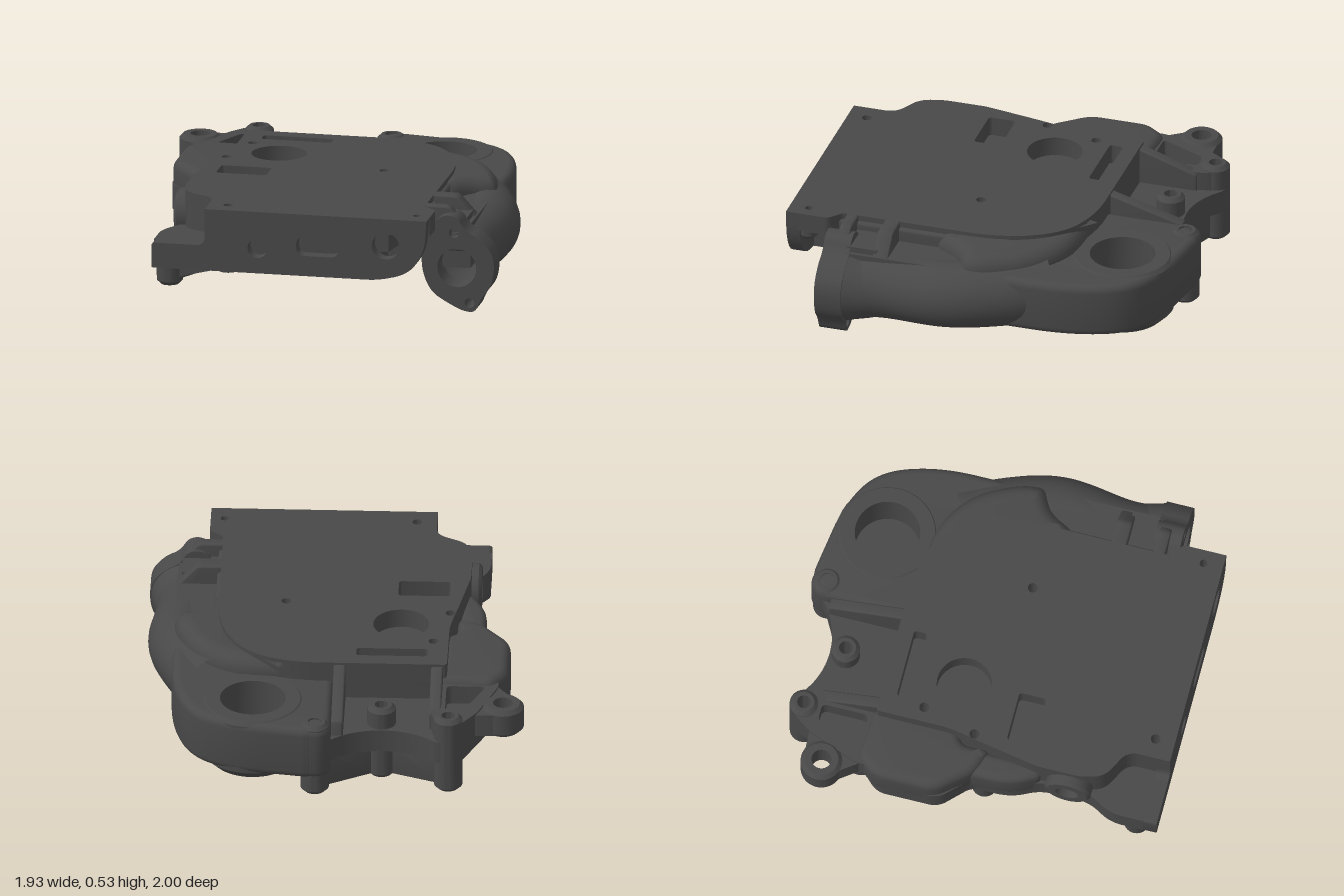
import * as THREE from 'three';
import { toCreasedNormals } from 'three/addons/utils/BufferGeometryUtils.js';

const material = new THREE.MeshStandardMaterial({ color: 0x484848, side: THREE.DoubleSide });

export function createModel() {
  const group = new THREE.Group();

  const add = (name, geometry, x = 0, y = 0, z = 0) => {
    const mesh = new THREE.Mesh(toCreasedNormals(geometry, 0.6), material);
    mesh.name = name;
    mesh.position.set(x, y, z);
    group.add(mesh);
    return mesh;
  };

  // Closed outline with rounded corners; each point is [a, b, cornerRadius]
  const outline = (points, flip = 1) => {
    const p = points.map(([a, b]) => new THREE.Vector2(a, b * flip));
    const shape = new THREE.Shape();
    p.forEach((c, i) => {
      const prev = p[(i + p.length - 1) % p.length], next = p[(i + 1) % p.length];
      const r = points[i][2] ?? 0.03;
      const toward = (q) => c.clone().lerp(q, Math.min(0.49, r / c.distanceTo(q)));
      const a = toward(prev), b = toward(next);
      if (i) shape.lineTo(a.x, a.y); else shape.moveTo(a.x, a.y);
      shape.quadraticCurveTo(c.x, c.y, b.x, b.y);
    });
    shape.closePath();
    return shape;
  };
  const disc = (x, y, r) => new THREE.Path().absarc(x, y, r, 0, Math.PI * 2, true);
  const box = (x, z, w, d, r = 0.02) => outline([
    [x - w / 2, z - d / 2, r], [x + w / 2, z - d / 2, r], [x + w / 2, z + d / 2, r], [x - w / 2, z + d / 2, r]], -1);
  const extrude = (shape, depth, bevel = 0) => new THREE.ExtrudeGeometry(shape, {
    depth: depth - 2 * bevel, curveSegments: 16, bevelEnabled: bevel > 0,
    bevelSize: bevel, bevelThickness: bevel, bevelOffset: -bevel, bevelSegments: 5,
  }).translate(0, 0, bevel);

  // Horizontal layer of the casting, drawn in plan (x, z)
  const slab = (name, points, y0, y1, holes = [], bevel = 0) => {
    const shape = outline(points, -1);
    shape.holes.push(...holes);
    add(name, extrude(shape, y1 - y0, bevel).rotateX(-Math.PI / 2), 0, y0, 0);
  };
  const planHole = ([x, z, r]) => disc(x, -z, r);
  const lathe = (name, profile, x, z) => add(name,
    new THREE.LatheGeometry(profile.map(([r, y]) => new THREE.Vector2(r, y)), 48), x, 0, z);
  // Hollow boss with chamfered rims
  const boss = (name, x, z, r, hole, y0, y1) => lathe(name, [
    [hole, y0], [r - 0.02, y0], [r, y0 + 0.02], [r, y1 - 0.02], [r - 0.02, y1], [hole, y1], [hole, y0]], x, z);

  const bolts = [[-0.495, -0.27, 0.025], [-0.57, 0.01, 0.025], [0.26, 0.1, 0.025], [-0.37, 0.9, 0.025]];

  // Main body in layers: top with pockets, solid middle, underside with recesses
  const leftEdge = [
    [-0.47, 0.93, 0], [-0.47, 0.78, 0.06], [-0.63, 0.7, 0.06], [-0.66, 0.58], [-0.66, 0.36],
    [-0.61, 0.08, 0.06], [-0.57, -0.12, 0.06]];
  const rearEdge = [
    [-0.57, -0.5, 0.02], [0.22, -0.5, 0.15], [0.46, -0.4, 0.15], [0.6, -0.12, 0.2]];
  slab('topPlate', [...rearEdge, [0.6, 0.72, 0.02], [0.67, 0.78, 0.02], [0.67, 0.93, 0], ...leftEdge], 0.43, 0.53, [
    ...[...bolts, [0.6, 0.9, 0.02]].map(planHole), planHole([-0.325, -0.105, 0.14]),
    box(-0.29, -0.385, 0.36, 0.07), box(-0.43, 0.245, 0.26, 0.14)]);
  slab('middlePlate', [...rearEdge, [0.6, 0.74, 0.02], [0.48, 0.78, 0.05], [0.46, 0.93, 0], ...leftEdge],
    0.34, 0.43, bolts.map(planHole));
  const base = [
    [-0.8, -0.5, 0], [0.35, -0.5, 0.1], [0.42, -0.3, 0.1], [0.42, 0.93, 0], [-0.745, 0.93, 0],
    [-0.745, 0.76, 0.06], [-0.67, 0.63, 0.06], [-0.67, 0.38, 0.06], [-0.74, 0.24, 0.08], [-0.74, 0.04, 0.04],
    [-0.88, -0.1, 0.05], [-0.88, -0.42, 0.05]];
  slab('basePlate', base, 0.28, 0.34, bolts.map(planHole));
  slab('undersidePlate', base, 0.21, 0.28, [
    ...bolts.map(planHole), planHole([-0.29, -0.105, 0.17]), planHole([0.13, 0.5, 0.22]),
    box(-0.43, 0.245, 0.26, 0.14)]);
  slab('leftShoulder', [
    [-0.88, -0.43, 0.05], [-0.8, -0.54, 0.05], [-0.53, -0.52], [-0.53, -0.09], [-0.605, -0.04], [-0.605, 0.1],
    [-0.73, 0.06, 0.05], [-0.88, -0.12, 0.06]], 0.25, 0.46, [], 0.05);
  slab('leftFlank', [
    [-0.75, -0.05], [-0.61, -0.05], [-0.61, 0.38], [-0.67, 0.38], [-0.745, 0.24, 0.08]], 0.25, 0.43, [], 0.04);
  boss('frontCornerBoss', 0.6, 0.9, 0.05, 0.02, 0.37, 0.45);

  // Front wall with two round ports and a slot
  const front = outline([
    [-0.745, 0.21, 0.01], [0.42, 0.21, 0.06], [0.58, 0.25, 0.1], [0.66, 0.37, 0.1],
    [0.67, 0.53, 0], [-0.47, 0.53, 0], [-0.47, 0.34, 0.05], [-0.745, 0.34, 0.02]]);
  front.holes.push(disc(-0.2, 0.34, 0.05), disc(0.46, 0.39, 0.07), outline([
    [0, 0.315, 0.05], [0.22, 0.315, 0.05], [0.22, 0.415, 0.05], [0, 0.415, 0.05]]));
  add('frontWall', extrude(front, 0.07), 0, 0, 0.93);

  // Rounded lower edge beside the pipe
  add('roundedEdge', extrude(outline([
    [0.4, 0.21, 0], [0.46, 0.21, 0.06], [0.58, 0.25, 0.1], [0.62, 0.37, 0.1], [0.62, 0.5, 0.02], [0.4, 0.5, 0]]),
  0.96), 0, 0, -0.2);

  // Rear flange with scalloped edge
  const arc = [];
  for (let i = 0; i <= 10; i++) {
    const t = -0.78 + i * 0.156;
    arc.push([-0.26 + 0.38 * Math.sin(t), -1.19 + 0.37 * Math.cos(t), 0.02]);
  }
  const rearBosses = [[-0.59, -0.87], [-0.25, -0.74], [0.08, -0.92]];
  slab('rearFlange', [
    [-0.8, -0.48, 0], [-0.82, -0.54], [-0.7, -0.81], [-0.66, -0.9], [-0.6, -0.94, 0.04],
    ...arc, [0.03, -0.97], [0.1, -0.99], [0.18, -0.94], [0.18, -0.48, 0]], 0.21, 0.33,
  rearBosses.map(([x, z]) => planHole([x, z, 0.045])));

  // Raised frame around the triangular pocket, with the arm of the corner boss
  slab('triangularFrame', [
    [-0.83, -0.48, 0], [-0.83, -0.54], [-0.73, -0.8], [-0.66, -0.9], [-0.6, -0.94, 0.04], [-0.52, -0.88],
    [-0.5, -0.8], [-0.5, -0.48, 0]], 0.3, 0.43, [
    planHole([-0.59, -0.87, 0.045]),
    outline([[-0.77, -0.54], [-0.57, -0.54], [-0.57, -0.78], [-0.66, -0.78]], -1)]);
  slab('cornerArm', [
    [-0.81, -0.5], [-0.95, -0.69, 0.01], [-0.9, -0.8, 0.01], [-0.69, -0.81], [-0.75, -0.58]],
  0.3, 0.42, [planHole([-0.86, -0.71, 0.055])]);
  rearBosses.forEach(([x, z], i) => boss('rearBoss' + (i + 1), x, z, 0.072, 0.034, 0.04, i ? 0.435 : 0.455));
  boss('cornerBoss', -0.86, -0.71, 0.105, 0.05, 0.29, 0.44);

  // Web in the vertical plane between plan points a and b, each [x, z, topHeight]
  const web = (name, [ax, az, ay], [bx, bz, by], w, bottom) => {
    const len = Math.hypot(bx - ax, bz - az);
    const g = extrude(outline([[0, bottom, 0], [len, bottom, 0], [len, by, 0.01], [0, ay, 0.01]]), w, 0.01);
    const mesh = add(name, g.translate(0, 0, -w / 2), ax, 0, az);
    mesh.rotation.y = -Math.atan2(bz - az, bx - ax);
  };
  web('rearRib', [-0.52, -0.49, 0.52], [-0.52, -0.8, 0.42], 0.06, 0.24);
  web('rearRib', [-0.03, -0.49, 0.52], [-0.03, -0.88, 0.41], 0.06, 0.24);
  web('bossWeb', [-0.54, -0.85, 0.25], [-0.3, -0.76, 0.25], 0.04, 0.055);
  web('bossWeb', [-0.2, -0.765, 0.25], [0.035, -0.895, 0.25], 0.04, 0.055);

  // Round rear housing with its blind bore and surrounding shoulder
  lathe('roundHousing', [
    [0, 0.18], [0.165, 0.18], [0.165, 0.43], [0.24, 0.43], [0.26, 0.41], [0.26, 0.14],
    [0.25, 0.13], [0.21, 0.09], [0, 0.09]], 0.4, -0.69);
  slab('housingShoulder', [
    [0, -0.48, 0.02], [0, -0.92], [0.09, -1.005, 0.06], [0.5, -0.945, 0.14], [0.72, -0.82, 0.16], [0.82, -0.52, 0.18],
    [0.82, 0, 0.1], [0.6, 0.1], [0.4, -0.2, 0.1]], 0.14, 0.425,
  [planHole([0.4, -0.69, 0.23]), planHole([0.08, -0.92, 0.08])], 0.04);
  slab('curvedShelf', [
    [0.2, -0.48], [0.5, -0.46, 0.12], [0.7, -0.32, 0.15], [0.81, -0.1, 0.12], [0.82, 0.02, 0.03],
    [0.7, 0.08, 0.06], [0.63, 0.22, 0.05], [0.56, 0.22, 0], [0.5, -0.2, 0.1]], 0.3, 0.51, [], 0.08);

  // Side pipe with flared collar and flange
  const path = new THREE.CatmullRomCurve3([
    [0.775, 0.23, 0.7], [0.755, 0.25, 0.45], [0.785, 0.27, 0.1], [0.715, 0.28, -0.14], [0.6, 0.29, -0.36],
  ].map((p) => new THREE.Vector3(...p)));
  add('sidePipe', new THREE.TubeGeometry(path, 40, 0.17, 32));
  add('pipeCollar', new THREE.CylinderGeometry(0.187, 0.155, 0.13, 40, 1, true).rotateX(Math.PI / 2), 0.772, 0.235, 0.555);
  const flange = outline([
    [0.6, 0.38, 0.06], [0.59, 0.22, 0.09], [0.64, 0.1, 0.07], [0.72, 0.05, 0.05], [0.8, 0.01, 0.03], [0.87, 0, 0.04],
    [0.9, 0.08, 0.04], [0.96, 0.15, 0.09], [0.97, 0.3, 0.09], [0.89, 0.39, 0.05], [0.82, 0.42, 0.04],
    [0.77, 0.5, 0.04], [0.69, 0.5, 0.05]]);
  flange.holes.push(disc(0.775, 0.23, 0.1), disc(0.84, 0.05, 0.025), disc(0.76, 0.41, 0.025));
  add('pipeFlange', extrude(flange, 0.14), 0, 0, 0.62);

  // Stepped bracket joining the flange to the body
  const bracket = outline([[0.57, 0.3, 0], [0.82, 0.3, 0.02], [0.82, 0.42, 0.02], [0.72, 0.53, 0.02], [0.57, 0.53, 0]]);
  for (const [z, depth] of [[0.42, 0.08], [0.64, 0.06]]) add('bracket', extrude(bracket, depth, 0.01), 0, 0, z);
  add('bracketFloor', new THREE.BoxGeometry(0.24, 0.23, 0.65), 0.7, 0.315, 0.32);
  add('bracketStep', new THREE.BoxGeometry(0.22, 0.1, 0.16), 0.69, 0.41, 0.56);

  // Side port on the left-hand edge of the body
  const port = new THREE.LatheGeometry([
    [0.06, -0.1], [0.12, -0.1], [0.12, 0.035], [0.105, 0.05], [0.06, 0.05], [0.06, -0.06], [0, -0.06],
  ].map((p) => new THREE.Vector2(...p)), 36).rotateZ(Math.PI / 2);
  add('sidePort', port, -0.66, 0.38, 0.525);

  // Underside rings, bolt bosses and feet
  const ring = new THREE.Shape().absarc(-0.29, 0.105, 0.345, 0, Math.PI * 2, false);
  ring.holes.push(planHole([-0.29, -0.105, 0.17]), planHole(bolts[0]), planHole(bolts[1]));
  add('undersideRing', extrude(ring, 0.04).rotateX(-Math.PI / 2), 0, 0.175, 0);
  lathe('undersideRim', [[0.22, 0.23], [0.22, 0.18], [0.25, 0.18], [0.28, 0.22]], 0.13, 0.5);
  for (const [x, z, r] of bolts.slice(2)) {
    lathe('boltBoss', [[r, 0.21], [r, 0.19], [0.05, 0.19], [0.055, 0.21]], x, z);
  }
  for (const z of [0.09, 0.88]) {
    lathe('foot', [[0.02, 0.2], [0.02, 0.1], [0.045, 0.1], [0.065, 0.12], [0.07, 0.22]], -0.675, z);
    const gusset = extrude(outline([[0, 0.12, 0], [0.24, 0.21, 0.02], [0, 0.25, 0]]), 0.07, 0.02);
    add('footGusset', gusset, -0.65, 0, z - 0.035);
  }
  return group;
}
